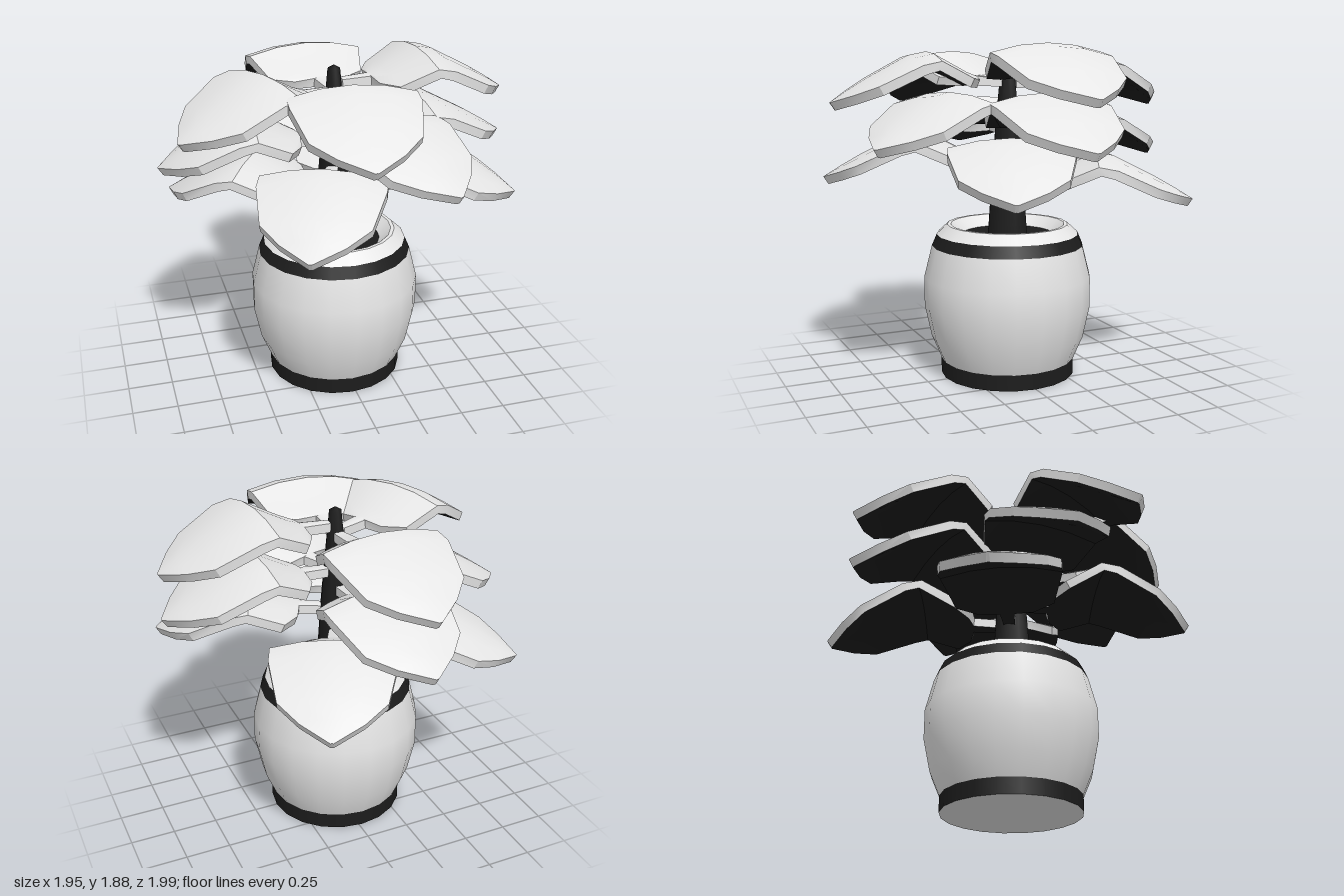
import * as THREE from 'three';
import { toCreasedNormals } from 'three/addons/utils/BufferGeometryUtils.js';

const white = new THREE.MeshStandardMaterial({ color: 0xe6e6e6 });
white.name = 'white';
const black = new THREE.MeshStandardMaterial({ color: 0x1c1c1c });
black.name = 'black';

const CENTRE_X = -0.02;

function lathe(name, profile, material, segments = 20) {
  const points = profile.map(([r, y]) => new THREE.Vector2(r, y));
  const mesh = new THREE.Mesh(new THREE.LatheGeometry(points, segments), material);
  mesh.name = name;
  return mesh;
}

// Leaf cross-sections: [distance from stem, half width, height below the fold]
const SECTIONS = [
  [0.04, 0.03, -0.14], [0.2, 0.04, -0.13], [0.21, 0.15, -0.125], [0.28, 0.27, -0.1],
  [0.47, 0.33, 0], [0.57, 0.33, -0.02], [0.79, 0.275, -0.135], [0.9, 0.16, -0.2], [1, 0.008, -0.265],
];
const ACROSS = [-1, -0.5, 0, 0.5, 1];
const THICKNESS = 0.05;

function leafGeometries(length) {
  const last = SECTIONS.length - 1;
  const top = [], bottom = [];
  SECTIONS.forEach(([u, w, h], i) => {
    const a = SECTIONS[Math.max(i - 1, 0)], b = SECTIONS[Math.min(i + 1, last)];
    const slope = Math.atan2(b[2] - a[2], b[0] - a[0]);
    top.push(ACROSS.map((v) => new THREE.Vector3(v * w, h - 0.15 * w * v * v, u * length)));
    bottom.push(top[i].map((p) => new THREE.Vector3(
      p.x, p.y - THICKNESS * Math.cos(slope), p.z + THICKNESS * Math.sin(slope))));
  });

  const upper = [], under = [];
  const quad = (list, a, b, c, d) => {
    for (const p of [a, b, c, a, c, d]) list.push(p.x, p.y, p.z);
  };
  const n = ACROSS.length - 1;
  for (let i = 0; i < last; i++) {
    for (let j = 0; j < n; j++) {
      quad(upper, top[i][j], top[i + 1][j], top[i + 1][j + 1], top[i][j + 1]);
      quad(under, bottom[i][j], bottom[i][j + 1], bottom[i + 1][j + 1], bottom[i + 1][j]);
    }
    // side edges
    quad(upper, top[i][0], bottom[i][0], bottom[i + 1][0], top[i + 1][0]);
    quad(upper, top[i][n], top[i + 1][n], bottom[i + 1][n], bottom[i][n]);
  }
  // stem end and tip
  for (let j = 0; j < n; j++) {
    quad(upper, top[0][j], top[0][j + 1], bottom[0][j + 1], bottom[0][j]);
    quad(upper, top[last][j], bottom[last][j], bottom[last][j + 1], top[last][j + 1]);
  }
  return [upper, under].map((list) => {
    const geometry = new THREE.BufferGeometry();
    geometry.setAttribute('position', new THREE.Float32BufferAttribute(list, 3));
    return toCreasedNormals(geometry, 0.55);
  });
}

function makeLeaf(tipX, tipZ, foldHeight) {
  const dx = tipX - CENTRE_X;
  const [upper, under] = leafGeometries(Math.hypot(dx, tipZ));
  const leaf = new THREE.Group();
  leaf.name = 'leaf';
  const face = new THREE.Mesh(upper, white);
  face.name = 'leafTop';
  const back = new THREE.Mesh(under, black);
  back.name = 'leafUnderside';
  leaf.add(face, back);
  leaf.position.y = foldHeight;
  leaf.rotation.y = Math.atan2(dx, tipZ);
  return leaf;
}

export function createModel() {
  const model = new THREE.Group();
  model.name = 'pottedPlant';
  const plant = new THREE.Group();
  plant.name = 'plant';
  plant.position.x = CENTRE_X;
  model.add(plant);

  // Barrel pot with dark bands
  plant.add(
    lathe('potBottom', [[0, 0], [0.385, 0]], white),
    lathe('baseBand', [[0.385, 0], [0.385, 0.09]], black),
    lathe('potBody', [[0.385, 0.09], [0.44, 0.22], [0.478, 0.4], [0.478, 0.57], [0.433, 0.75]], white),
    lathe('rimBand', [[0.433, 0.75], [0.405, 0.815]], black),
    lathe('potShoulder', [[0.405, 0.815], [0.345, 0.87]], white),
    lathe('potLip', [[0.345, 0.87], [0.325, 0.87]], white),
    lathe('potInside', [[0.325, 0.87], [0.26, 0.81]], white),
    lathe('soil', [[0.26, 0.81], [0, 0.81]], black),
  );

  // Tapering stem
  plant.add(lathe('stem', [[0.12, 0.81], [0.115, 0.87], [0.088, 1.25], [0.065, 1.5], [0.035, 1.8], [0, 1.82]], black, 8));

  // Three tiers of four leaves: [tip x, tip z, fold height]
  const leaves = [
    [-0.1, 0.99, 1.84], [-0.1, -1, 1.83], [0.97, -0.04, 1.885], [-0.91, 0.35, 1.84],
    [0.97, -0.03, 1.63], [0.37, 0.89, 1.63], [-0.98, -0.08, 1.57], [-0.1, -1, 1.53],
    [-0.41, 0.96, 1.41], [0.91, 0.37, 1.4], [0.43, -0.95, 1.28], [-0.88, -0.54, 1.27],
  ];
  for (const [x, z, y] of leaves) plant.add(makeLeaf(x, z, y));
  return model;
}
